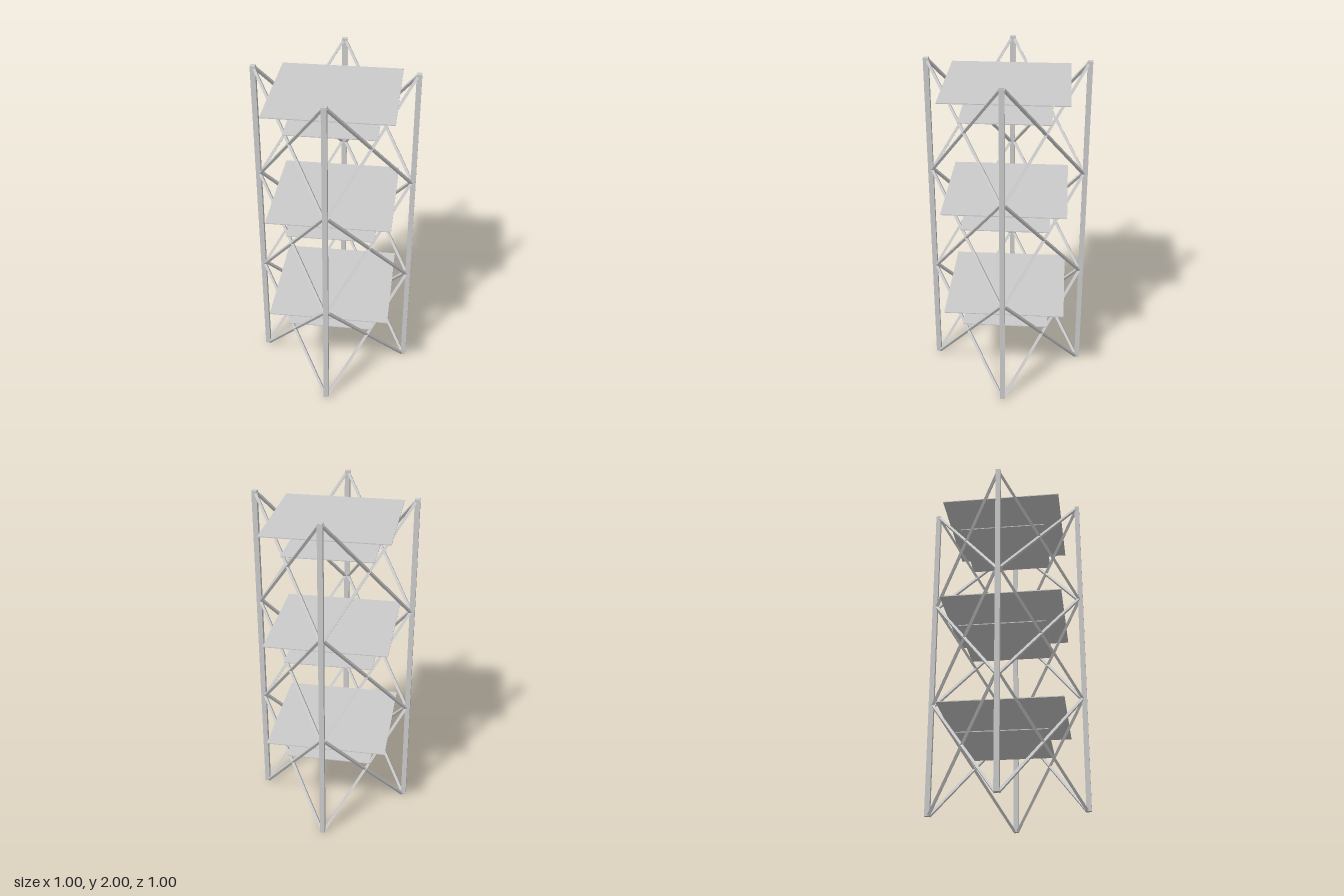
import * as THREE from 'three';

const HEIGHT = 2, CORNER = 0.321, POST_R = 0.021, BRACE_R = 0.011;
const BRACE_X = 0.307, BASE_Y = 0.005, BAY = 0.659;

export function createModel() {
  const tower = new THREE.Group();
  tower.name = 'latticeTower';
  const material = new THREE.MeshStandardMaterial({ color: 0xcccccc, flatShading: true });

  const add = (parent, name, geometry) => {
    const mesh = new THREE.Mesh(geometry, material);
    mesh.name = name;
    parent.add(mesh);
    return mesh;
  };

  // Four-sided bar between two points
  const bar = (parent, name, a, b, radius) => {
    const dir = b.clone().sub(a);
    const mesh = add(parent, name, new THREE.CylinderGeometry(radius, radius, dir.length(), 4));
    mesh.position.copy(a).add(b).multiplyScalar(0.5);
    mesh.quaternion.setFromUnitVectors(new THREE.Vector3(0, 1, 0), dir.normalize());
  };

  // Corner posts, set diagonally
  for (const x of [-CORNER, CORNER]) {
    for (const z of [-CORNER, CORNER]) {
      bar(tower, 'cornerPost', new THREE.Vector3(x, 0, z), new THREE.Vector3(x, HEIGHT, z), POST_R);
    }
  }

  // Crossed braces on the four sides, three bays each
  for (let side = 0; side < 4; side++) {
    const frame = new THREE.Group();
    frame.name = 'sideBracing';
    frame.rotation.y = side * Math.PI / 2;
    for (let bay = 0; bay < 3; bay++) {
      const y = BASE_Y + bay * BAY;
      for (const s of [-1, 1]) {
        bar(frame, 'brace', new THREE.Vector3(-s * BRACE_X, y, CORNER),
          new THREE.Vector3(s * BRACE_X, y + BAY, CORNER), BRACE_R);
      }
    }
    tower.add(frame);
  }

  // Thin square platforms turned 45 degrees: a wide one above a smaller one per bay
  const platform = (name, halfDiagonal, y) => {
    const size = halfDiagonal * Math.SQRT2;
    const mesh = add(tower, name, new THREE.BoxGeometry(size, 0.005, size));
    mesh.rotation.y = Math.PI / 4;
    mesh.position.y = y;
  };
  for (let bay = 0; bay < 3; bay++) {
    platform('upperPlatform', 0.502, 0.547 + bay * 0.66);
    platform('lowerPlatform', 0.364, 0.4 + bay * 0.66);
  }
  return tower;
}
